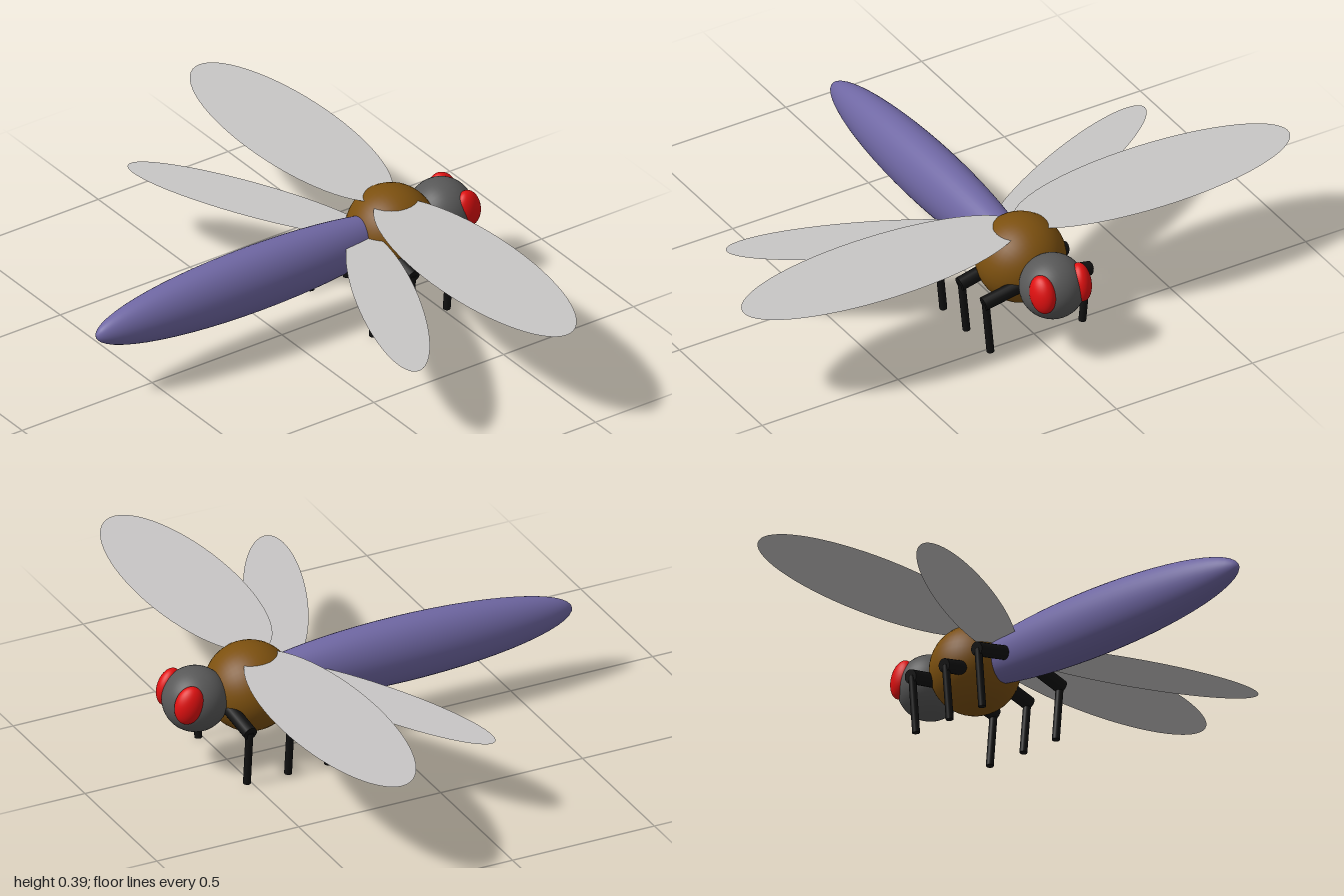
import * as THREE from 'three';

const mat = (name, color, extra = {}) => {
  const m = new THREE.MeshStandardMaterial({ color, ...extra });
  m.name = name;
  return m;
};

export function createModel() {
  const model = new THREE.Group();
  model.name = 'dragonfly';

  const violet = mat('violet', 0x6f67a3);
  const brown = mat('brown', 0x7c500f);
  const grey = mat('grey', 0x585858);
  const red = mat('red', 0xe01010);
  const black = mat('black', 0x111111);
  const wingGrey = mat('wingGrey', 0xc8c6c5, { side: THREE.DoubleSide });

  const add = (name, geometry, material, position) => {
    const mesh = new THREE.Mesh(geometry, material);
    mesh.name = name;
    mesh.position.set(...position);
    model.add(mesh);
    return mesh;
  };

  // Ellipsoid with its poles along z
  const ellipsoid = (rx, ry, rz) =>
    new THREE.SphereGeometry(1, 40, 28).rotateX(Math.PI / 2).scale(rx, ry, rz);

  // Straight limb segment between two points
  const limb = (name, a, b, radius) => {
    const from = new THREE.Vector3(...a), to = new THREE.Vector3(...b);
    const dir = to.clone().sub(from);
    const mesh = add(name, new THREE.CylinderGeometry(radius, radius, dir.length(), 16), black,
      from.clone().add(to).multiplyScalar(0.5).toArray());
    mesh.quaternion.setFromUnitVectors(new THREE.Vector3(0, 1, 0), dir.normalize());
  };

  // Flat elliptical wing
  const wing = (name, length, width, position, yaw) => {
    const geometry = new THREE.CircleGeometry(1, 64).rotateX(-Math.PI / 2).scale(length, 1, width);
    add(name, geometry, wingGrey, position).rotation.y = yaw;
  };

  // Body; the head points to -z
  add('abdomen', ellipsoid(0.087, 0.11, 0.605), violet, [0, 0.245, 0.11]);
  add('thorax', ellipsoid(0.145, 0.145, 0.145), brown, [0, 0.245, -0.42]);
  add('head', ellipsoid(0.106, 0.106, 0.106), grey, [0, 0.245, -0.612]);

  // Wings: the hind pair sits lower and is swept slightly unevenly
  wing('leftForewing', 0.5, 0.168, [0.5, 0.36, -0.39], 0);
  wing('rightForewing', 0.5, 0.168, [-0.5, 0.36, -0.39], 0);
  wing('leftHindwing', 0.436, 0.1, [0.4, 0.28, -0.125], -0.41);
  wing('rightHindwing', 0.436, 0.095, [-0.352, 0.28, -0.126], 0.454);

  for (const s of [1, -1]) {
    const side = s > 0 ? 'left' : 'right';

    // Eyes
    const eye = add(side + 'Eye', ellipsoid(0.034, 0.064, 0.046), red, [s * 0.07, 0.267, -0.668]);
    eye.rotation.set(0.28, s * 0.35, 0);

    // Legs: hip z, knee z, knee height
    [[-0.525, -0.515, 0.19], [-0.37, -0.37, 0.182], [-0.23, -0.23, 0.195]].forEach(([hipZ, z, kneeY], i) => {
      const part = side + ['Front', 'Middle', 'Hind'][i];
      const knee = [s * 0.187, kneeY, z];
      limb(part + 'UpperLeg', [s * 0.05, kneeY + 0.032, hipZ], [s * 0.195, kneeY - 0.002, z], 0.023);
      limb(part + 'LowerLeg', knee, [s * 0.169, 0.001, z], 0.0125);
    });
  }

  return model;
}
